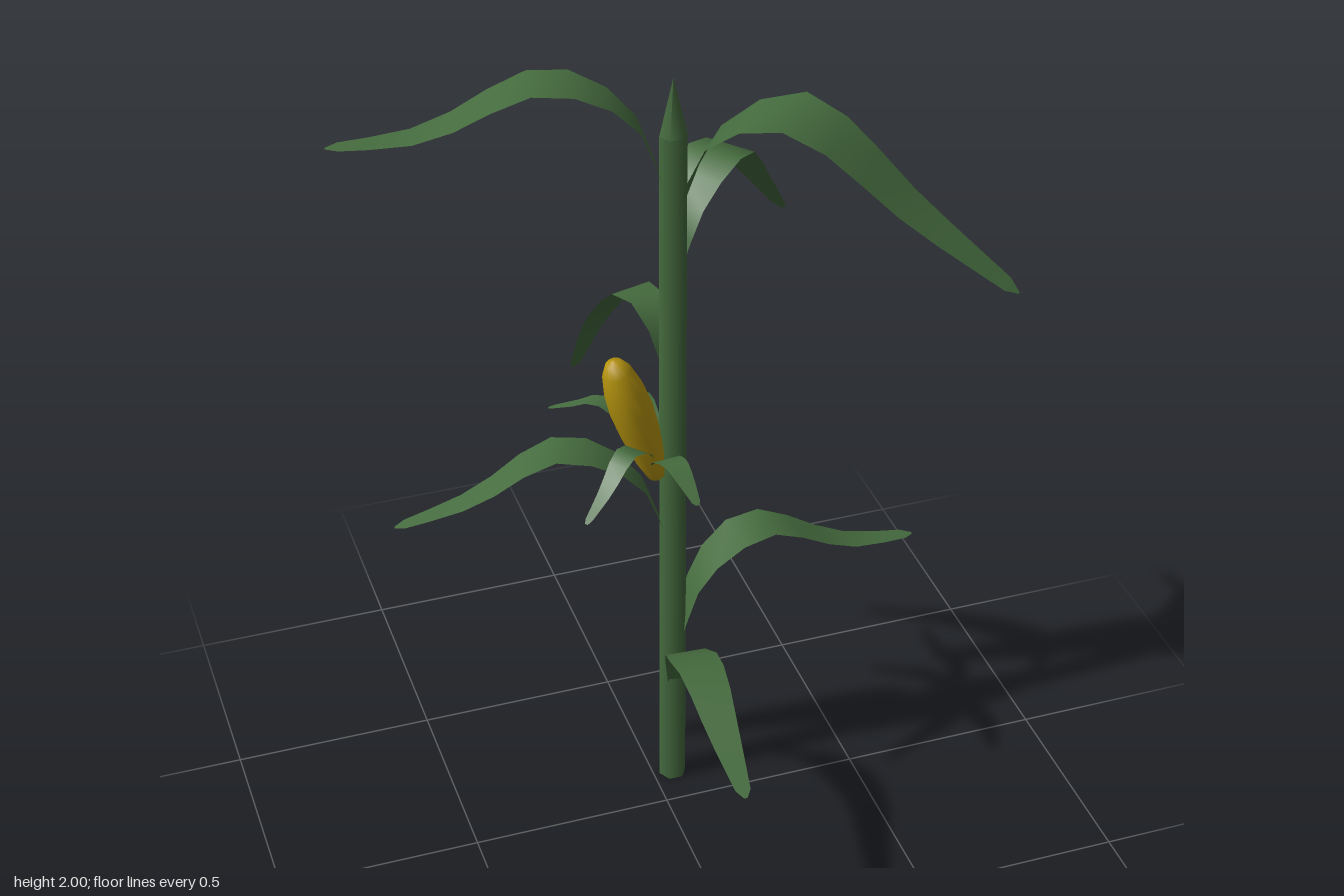
import * as THREE from 'three';

const STEM_X = 0.05, STEM_Z = -0.105;

// Blade width: narrow sheath, broad middle, tapering to a blunt tip
const taper = t => t < 0.38
  ? THREE.MathUtils.lerp(0.2, 1, t / 0.38)
  : THREE.MathUtils.lerp(1, 0.25, Math.pow((t - 0.38) / 0.62, 1.4));

// Arched strip from (x0, z0) to the tip: rises from baseY, peaks at peakF of its reach, then droops
function bladeGeometry(x0, z0, [tipX, tipZ, width, baseY, peakF, peakY, fallY, tipY]) {
  const dx = tipX - x0, dz = tipZ - z0, reach = Math.hypot(dx, dz);
  const at = (f, y) => new THREE.Vector3(x0 + dx * f, y, z0 + dz * f);
  const curve = new THREE.CatmullRomCurve3([
    at(0.02, baseY),
    at(peakF * 0.35, THREE.MathUtils.lerp(baseY, peakY, 0.7)),
    at(peakF, peakY),
    at(0.72, fallY),
    at(1, tipY),
  ]);
  const pos = [], index = [];
  const stations = [0, 0.1, 0.2, 0.3, 0.4, 0.5, 0.6, 0.7, 0.8, 0.9, 0.97, 1];
  stations.forEach((t, i) => {
    const p = curve.getPointAt(t);
    const h = t < 1 ? taper(t) * width / 2 : 0.004;
    const sx = -dz / reach * h, sz = dx / reach * h;
    pos.push(p.x - sx, p.y, p.z - sz, p.x + sx, p.y, p.z + sz);
    if (i) {
      const a = 2 * i - 2;
      index.push(a, a + 1, a + 2, a + 1, a + 3, a + 2);
    }
  });
  const g = new THREE.BufferGeometry();
  g.setAttribute('position', new THREE.Float32BufferAttribute(pos, 3));
  g.setIndex(index);
  g.computeVertexNormals();
  return g;
}

// Each: tip x, tip z, width, base y, peak fraction, peak y, falling y, tip y
const LEAVES = {
  topRightLeaf: [-0.70, -0.25, 0.14, 1.70, 0.37, 2.0, 1.89, 1.87],
  topLeftLeaf: [0.69, 0.365, 0.2, 1.66, 0.35, 1.95, 1.74, 1.59],
  upperBackLeftLeaf: [0.43, -0.415, 0.14, 1.5, 0.43, 1.73, 1.59, 1.43],
  backLeaf: [-0.065, -0.535, 0.105, 1.18, 0.32, 1.38, 1.215, 1.0],
  middleRightLeaf: [-0.61, -0.22, 0.12, 0.75, 0.41, 1.035, 0.915, 0.85],
  lowerLeftLeaf: [0.70, -0.14, 0.125, 0.42, 0.34, 0.73, 0.615, 0.585],
  lowerFrontLeaf: [0.015, 0.53, 0.12, 0.28, 0.42, 0.54, 0.492, 0.45],
};
const HUSKS = {
  frontHusk: [0.035, 0.12, 0.07, 0.93, 0.5, 1.045, 1.03, 1.0],
  frontRightHusk: [-0.22, 0.07, 0.06, 0.93, 0.42, 1.075, 1.015, 0.97],
  backRightHusk: [-0.2, -0.295, 0.06, 0.93, 0.52, 1.12, 1.095, 1.06],
  backHusk: [0.03, -0.41, 0.06, 0.93, 0.42, 1.08, 1.042, 1.03],
};

export function createModel() {
  const group = new THREE.Group();
  const green = new THREE.MeshStandardMaterial({ color: 0x456b3e, side: THREE.DoubleSide });
  green.name = 'leaf green';
  const yellow = new THREE.MeshStandardMaterial({ color: 0xb8960f });
  yellow.name = 'corn yellow';
  const add = (name, geometry, material) => {
    const m = new THREE.Mesh(geometry, material);
    m.name = name;
    group.add(m);
    return m;
  };

  // Six-sided stalk with a pointed bud
  const stalk = new THREE.CylinderGeometry(0.033, 0.035, 1.85, 6, 1, false, Math.PI / 2);
  add('stalk', stalk, green).position.set(STEM_X, 0.925, STEM_Z);
  const bud = new THREE.ConeGeometry(0.033, 0.14, 6, 1, true, Math.PI / 2);
  add('bud', bud, green).position.set(STEM_X, 1.92, STEM_Z);

  // Arching leaves
  for (const [name, shape] of Object.entries(LEAVES))
    add(name, bladeGeometry(STEM_X, STEM_Z, shape), green);

  // Leaning ear of corn
  const profile = [[0, 0], [0.022, 0.02], [0.037, 0.08], [0.048, 0.16], [0.052, 0.23],
    [0.048, 0.29], [0.036, 0.345], [0.02, 0.373], [0, 0.38]];
  const ear = add('earOfCorn',
    new THREE.LatheGeometry(profile.map(p => new THREE.Vector2(...p)), 14), yellow);
  ear.position.set(0.015, 0.925, STEM_Z);
  ear.rotation.z = 0.3;

  // Husk blades curling away from the ear
  for (const [name, shape] of Object.entries(HUSKS))
    add(name, bladeGeometry(0.005, STEM_Z, shape), green);

  return group;
}
